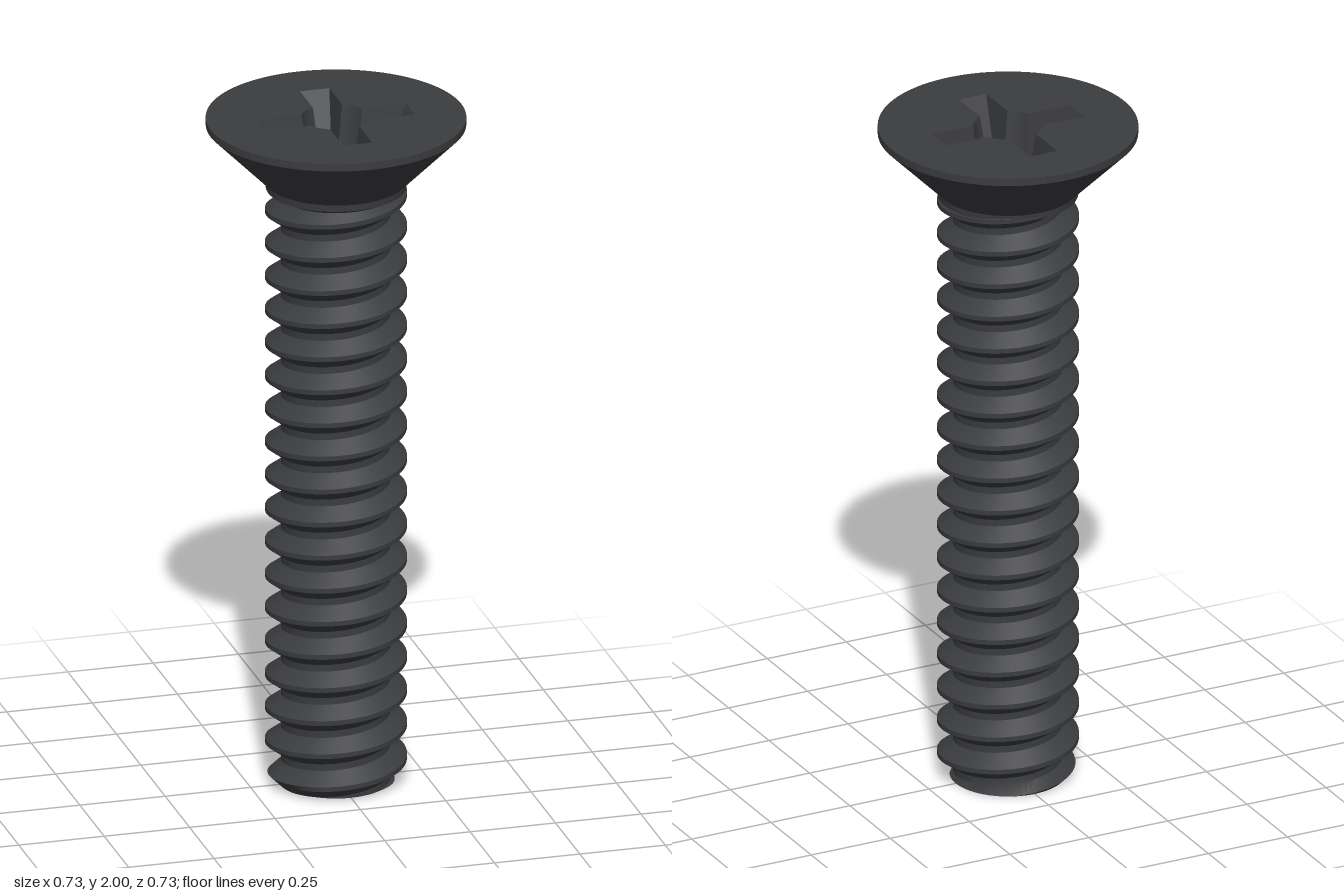
import * as THREE from 'three';
import { toCreasedNormals } from 'three/addons/utils/BufferGeometryUtils.js';

const TAU = Math.PI * 2;
const material = new THREE.MeshStandardMaterial({ color: 0x3b3c3f });

// Geometry from a list of triangles, skipping collapsed ones
function fromTriangles(tris, crease) {
  const pos = [];
  for (const [a, b, c] of tris) {
    const area = b.clone().sub(a).cross(c.clone().sub(a)).length();
    if (area > 1e-8) for (const p of [a, b, c]) pos.push(p.x, p.y, p.z);
  }
  const g = new THREE.BufferGeometry();
  g.setAttribute('position', new THREE.Float32BufferAttribute(pos, 3));
  return toCreasedNormals(g, crease);
}

function part(name, geometry) {
  const mesh = new THREE.Mesh(geometry, material);
  mesh.name = name;
  return mesh;
}

// Right-hand helical thread, with rows following the helix so crests stay crisp
function threadedShank() {
  const pitch = 0.1, crestY = 0.05, top = 1.8, segments = 72;
  const crest = 0.07, root = 0.4;
  const radius = (t, y) => {
    const phase = (y - crestY) / pitch - t / TAU;
    const d = Math.abs(phase - Math.round(phase));
    const k = THREE.MathUtils.clamp((d - crest) / (root - crest), 0, 1);
    return Math.min(0.2 - 0.045 * k, 0.165 + y); // chamfered tip
  };
  const point = (t, y, r) => new THREE.Vector3(r * Math.sin(t), y, r * Math.cos(t));
  const columns = [];
  for (let i = 0; i <= segments; i++) {
    const t = (i / segments) * TAU;
    const column = [new THREE.Vector3(0, 0, 0)]; // closes the tip
    for (let k = -2; k <= 18; k++) {
      for (const o of [-root, -crest, crest, root]) {
        const y = THREE.MathUtils.clamp(crestY + pitch * (k + o + t / TAU), 0, top);
        column.push(point(t, y, radius(t, y)));
      }
    }
    columns.push(column);
  }
  const tris = [];
  for (let i = 0; i < segments; i++) {
    const a = columns[i], b = columns[i + 1];
    for (let j = 0; j < a.length - 1; j++) {
      tris.push([a[j], b[j], b[j + 1]], [a[j], b[j + 1], a[j + 1]]);
    }
  }
  return fromTriangles(tris, 0.45);
}

// Cross outline: four arms joined by arcs of a central circle
const ARC = 6;
function crossOutline(halfWidth, length, r) {
  const pts = [];
  const start = Math.asin(halfWidth / r), end = Math.PI / 2 - start;
  for (let q = 0; q < 4; q++) {
    const centre = new THREE.Vector2();
    const add = (x, y) => pts.push(new THREE.Vector2(x, y).rotateAround(centre, q * Math.PI / 2));
    add(length, -halfWidth);
    add(length, halfWidth);
    for (let i = 0; i <= ARC; i++) {
      const a = start + (end - start) * i / ARC;
      add(r * Math.cos(a), r * Math.sin(a));
    }
  }
  return pts;
}

// Tapered cross recess with a shallow conical centre
function recess(topOutline, floorOutline, floorY, tipY) {
  const at = (pts, y) => pts.map(p => new THREE.Vector3(p.x, y, -p.y));
  const top = at(topOutline, 2), floor = at(floorOutline, floorY);
  const n = top.length, step = ARC + 3, tris = [];
  for (let i = 0; i < n; i++) {
    const j = (i + 1) % n;
    tris.push([floor[i], top[i], floor[j]], [floor[j], top[i], top[j]]);
  }
  const rim = [];
  for (let q = 0; q < 4; q++) {
    const s = q * step;
    const previous = floor[(s + n - 1) % n];
    tris.push([previous, floor[s], floor[s + 1]], [previous, floor[s + 1], floor[s + 2]]);
    for (let i = 2; i < step; i++) rim.push(floor[s + i]);
  }
  const tip = new THREE.Vector3(0, tipY, 0);
  rim.forEach((p, i) => tris.push([tip, p, rim[(i + 1) % rim.length]]));
  return fromTriangles(tris, 0.4);
}

export function createModel() {
  const screw = new THREE.Group();
  screw.name = 'countersunkScrew';
  screw.add(part('threadedShank', threadedShank()));

  const head = new THREE.Group();
  head.name = 'head';
  screw.add(head);

  // Neck, countersunk cone and thin rim
  const profile = [[0.15, 1.765], [0.198, 1.79], [0.2, 1.81], [0.367, 1.978], [0.367, 2]]
    .map(([r, y]) => new THREE.Vector2(r, y));
  head.add(part('headCone', toCreasedNormals(new THREE.LatheGeometry(profile, 96), 0.5)));

  // Flat top face with the cross opening
  const topOutline = crossOutline(0.043, 0.219, 0.098);
  const face = new THREE.Shape().absarc(0, 0, 0.367, 0, TAU);
  face.holes.push(new THREE.Path(topOutline.slice().reverse()));
  const topFace = part('topFace', new THREE.ShapeGeometry(face, 96).rotateX(-Math.PI / 2));
  topFace.position.y = 2;
  head.add(topFace);

  head.add(part('crossRecess', recess(topOutline, crossOutline(0.026, 0.14, 0.08), 1.86, 1.835)));
  return screw;
}
